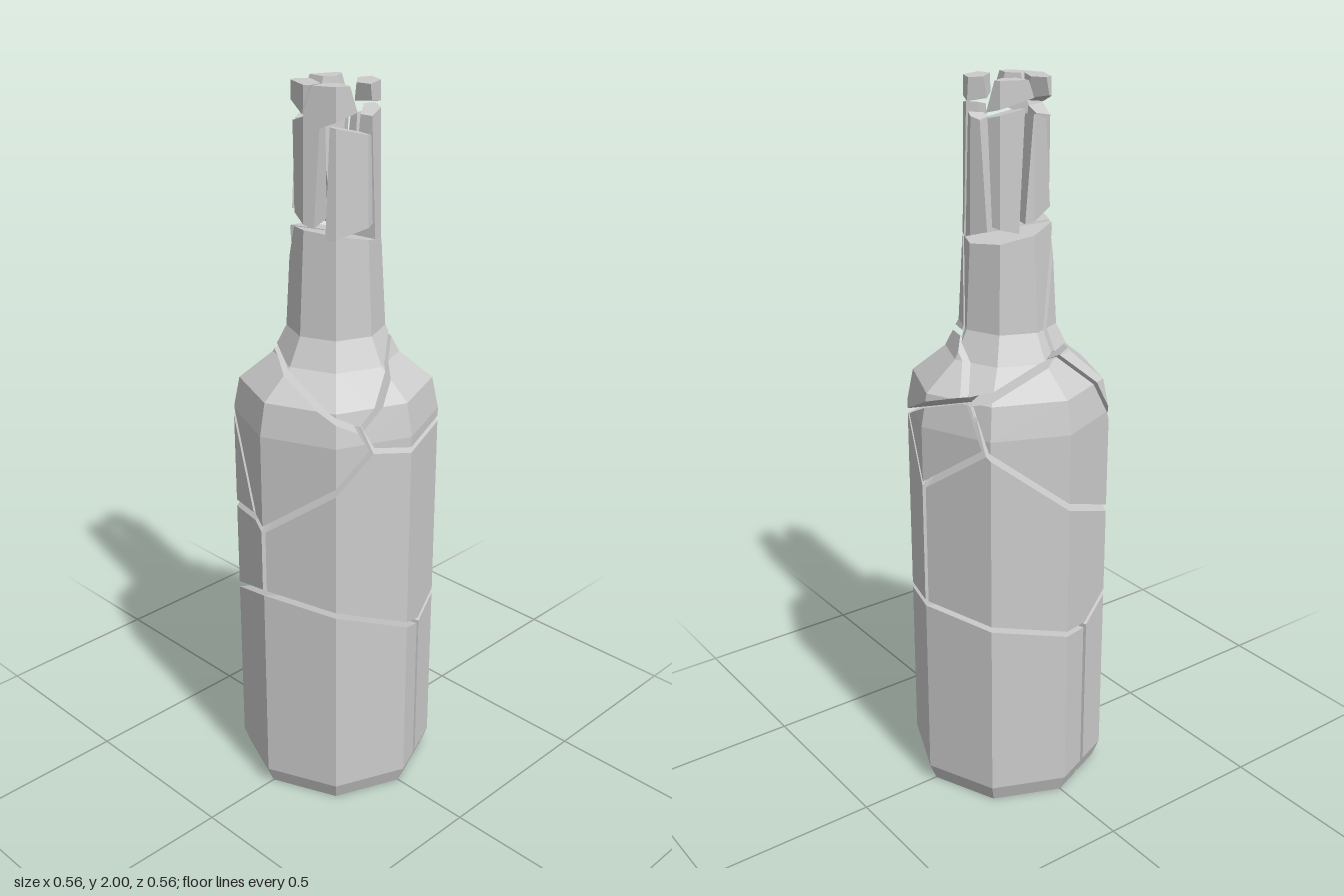
import * as THREE from 'three';
import { ConvexGeometry } from 'three/addons/geometries/ConvexGeometry.js';

const V = (x, y, z) => new THREE.Vector3(x, y, z);
const APOTHEM = Math.cos(Math.PI / 8);
const GAP = 0.008;
const material = new THREE.MeshStandardMaterial({ color: 0xcccccc, flatShading: true });

// A half-space is { n, d }: it keeps the points where n.p <= d.
function half(n, d) {
  const l = n.length();
  return { n: n.clone().divideScalar(l), d: d / l };
}

// Half-spaces of a convex eight-sided solid with the profile [radius, height]...
function octagonSolid(profile) {
  const planes = [half(V(0, -1, 0), -profile[0][1]), half(V(0, 1, 0), profile[profile.length - 1][1])];
  for (let i = 0; i + 1 < profile.length; i++) {
    const [r0, y0] = profile[i], [r1, y1] = profile[i + 1];
    const slope = (r1 - r0) * APOTHEM / (y1 - y0);
    for (let k = 0; k < 8; k++) {
      const a = (k + 0.5) * Math.PI / 4;
      planes.push(half(V(Math.sin(a), -slope, Math.cos(a)), r0 * APOTHEM - slope * y0));
    }
  }
  return planes;
}

// Convex mesh from the corners where three half-space borders meet
function solid(planes, name) {
  const points = new Map();
  const jk = V(0, 0, 0), ki = V(0, 0, 0), ij = V(0, 0, 0);
  for (let i = 0; i < planes.length; i++)
    for (let j = i + 1; j < planes.length; j++) {
      ij.crossVectors(planes[i].n, planes[j].n);
      for (let k = j + 1; k < planes.length; k++) {
        const det = ij.dot(planes[k].n);
        if (Math.abs(det) < 1e-5) continue;
        jk.crossVectors(planes[j].n, planes[k].n);
        ki.crossVectors(planes[k].n, planes[i].n);
        const p = V(0, 0, 0).addScaledVector(jk, planes[i].d)
          .addScaledVector(ki, planes[j].d).addScaledVector(ij, planes[k].d).divideScalar(det);
        if (planes.every(q => q.n.dot(p) <= q.d + 1e-5))
          points.set(p.toArray().map(c => Math.round(c * 2000)).join(), p);
      }
    }
  const list = [...points.values()];
  if (list.length < 4) return null;
  const size = new THREE.Box3().setFromPoints(list).getSize(V(0, 0, 0));
  if (Math.min(size.x, size.y, size.z) < 0.003) return null;
  const mesh = new THREE.Mesh(new ConvexGeometry(list), material);
  mesh.name = name;
  return mesh;
}

// Bottle body, shoulder curve and lower neck
const SECTIONS = [
  [[0.26, 0], [0.28, 0.05], [0.28, 1.12], [0.262, 1.21], [0.17, 1.285]],
  [[0.17, 1.285], [0.132, 1.36]],
  [[0.132, 1.36], [0.115, 1.66]],
].map(octagonSolid);

// Fracture cells: name, centre, weight
const CELLS = [
  ['lowerRightShard', V(0.12, 0.36, -0.03), 0],
  ['lowerLeftShard', V(-0.12, 0.36, 0.06), 0],
  ['frontBodyShard', V(0.04, 0.74, 0.04), 0],
  ['backBodyShard', V(0.04, 0.74, -0.04), 0],
  ['leftShoulderShard', V(-0.2, 1.0, -0.06), -0.08],
  ['backShoulderShard', V(-0.08, 0.93, -0.13), -0.06],
  ['frontShoulderShard', V(0.07, 1.19, 0.14), -0.14],
  ['rightShoulderShard', V(0.14, 0.85, 0), -0.074],
  ['frontNeckShard', V(-0.08, 1.36, 0.1), -0.13],
  ['backNeckShard', V(0.08, 1.42, -0.08), -0.16],
];

// Neck splinters and rim chips: angle, half angle, bottom, top, end tilt, side taper
const SPLINTERS = [
  [-22, 34, 1.635, 1.89, 0.25, 0.04],
  [38, 20, 1.6, 1.93, -0.2, -0.06],
  [90, 20, 1.61, 1.91, 0.3, 0.08],
  [142, 22, 1.63, 1.92, -0.25, -0.05],
  [195, 21, 1.66, 1.91, 0.3, 0.08],
  [262, 27, 1.66, 1.92, -0.3, -0.06],
];
const CHIPS = [
  [-52, 34, 1.91, 2, 0.4, 0.3],
  [42, 32, 1.95, 2, -0.2, -0.2],
  [150, 28, 1.94, 2, 0.3, 0.3],
  [245, 28, 1.94, 2, -0.3, -0.3],
];

function splinter([deg, halfDeg, y0, y1, tilt, taper], name, flatTop) {
  const a = THREE.MathUtils.degToRad(deg), h = THREE.MathUtils.degToRad(halfDeg);
  const mid = (y0 + y1) / 2;
  const planes = octagonSolid([[0.118, 1.58], [0.112, 2]]);
  // inner wall of the neck
  planes.push(half(V(-Math.sin(a), 0.1, -Math.cos(a)), -0.05 + 0.1 * mid));
  // the two broken sides
  for (const s of [-1, 1]) {
    const b = a + s * h;
    planes.push(half(V(s * Math.cos(b), taper, -s * Math.sin(b)), taper * mid));
  }
  // the broken ends
  const t = V(Math.cos(a) * tilt, 0, -Math.sin(a) * tilt);
  planes.push(half(V(t.x, -1, t.z), -y0));
  if (!flatTop) planes.push(half(V(t.x, 1, t.z), y1));
  return solid(planes, name);
}

export function createModel() {
  const bottle = new THREE.Group();
  bottle.name = 'shatteredBottle';

  // Large shards of body, shoulder and lower neck
  for (const [name, p, w] of CELLS) {
    const shard = new THREE.Group();
    shard.name = name;
    const cuts = [half(V(0.22, 1, 0), 1.615)];
    for (const [, q, wq] of CELLS) {
      if (q === p) continue;
      const cut = half(q.clone().sub(p).multiplyScalar(2), q.lengthSq() - p.lengthSq() - wq + w);
      cut.d -= GAP;
      cuts.push(cut);
    }
    for (const section of SECTIONS) {
      const mesh = solid([...section, ...cuts], name + 'Part');
      if (mesh) shard.add(mesh);
    }
    bottle.add(shard);
  }

  // Splinters of the upper neck and chips of the rim
  for (const s of SPLINTERS) {
    const mesh = splinter(s, 'neckSplinter', false);
    if (mesh) bottle.add(mesh);
  }
  for (const s of CHIPS) {
    const mesh = splinter(s, 'rimChip', true);
    if (mesh) bottle.add(mesh);
  }
  return bottle;
}
